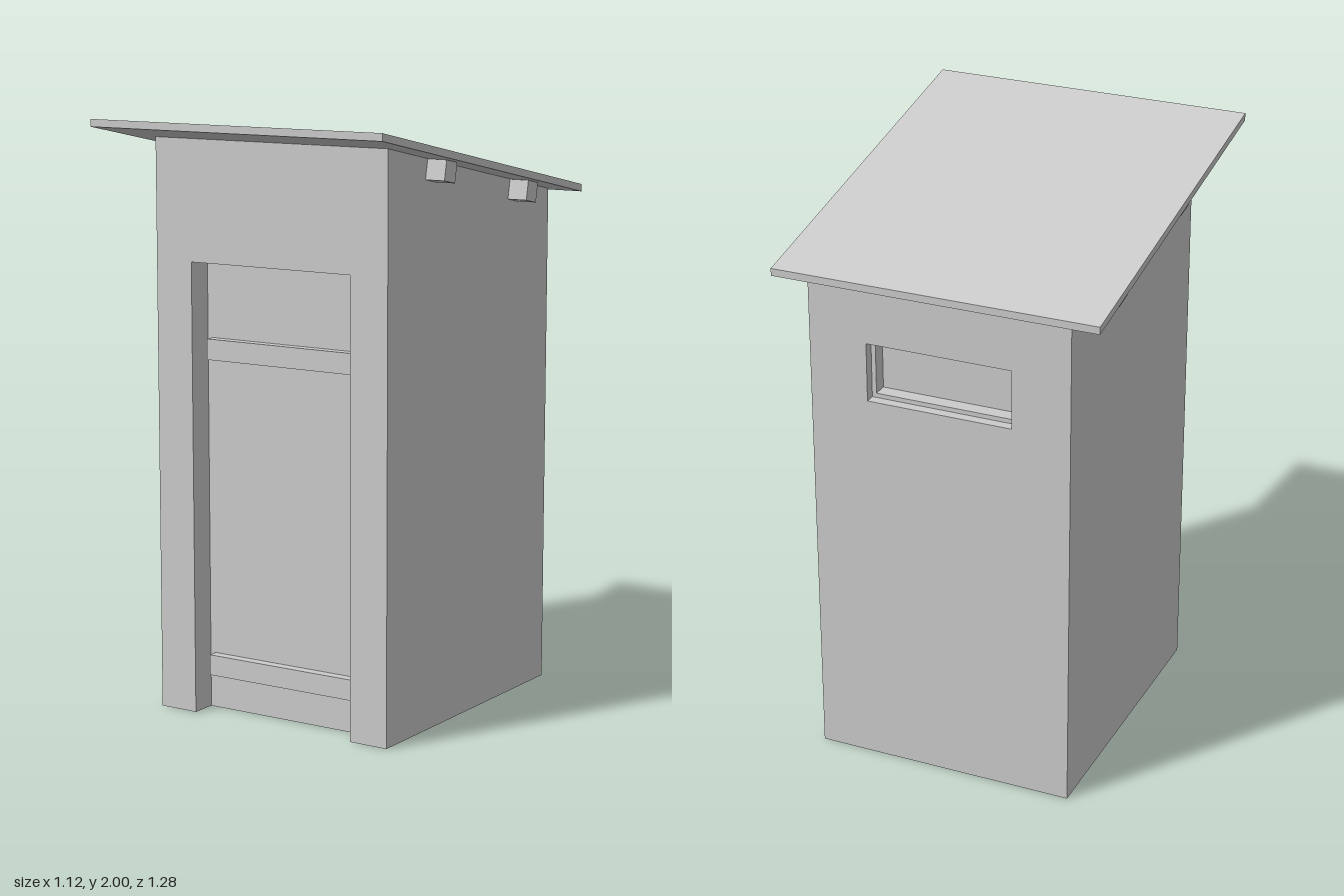
import * as THREE from 'three';

const HALF_W = 0.45, FRONT = 0.435, BACK = -0.6, SLOPE = 0.199;
// height of the roof underside at depth z
const under = (z) => 1.975 - (0.64 - z) * SLOPE;

const solid = new THREE.MeshStandardMaterial({ color: 0xcccccc, flatShading: true });
const sheet = new THREE.MeshStandardMaterial({ color: 0xcccccc, flatShading: true, side: THREE.DoubleSide });

function add(parent, name, geometry, material = solid) {
  const mesh = new THREE.Mesh(geometry, material);
  mesh.name = name;
  parent.add(mesh);
  return mesh;
}

const polygon = (points) => new THREE.Shape(points.map(([x, y]) => new THREE.Vector2(x, y)));
const corners = ({ w, y0, y1 }) => [[-w, y0], [w, y0], [w, y1], [-w, y1]];

// upright flat sheet at depth z, turned to face front (+1) or back (-1)
function upright(parent, name, points, z, facing, hole) {
  const shape = polygon(points);
  if (hole) shape.holes.push(polygon(corners(hole)));
  const mesh = add(parent, name, new THREE.ShapeGeometry(shape), sheet);
  mesh.position.z = z;
  if (facing < 0) mesh.rotation.y = Math.PI;
}

// the reveal surfaces around a rectangular opening between two depths
function reveal(parent, name, { w, y0, y1 }, zOut, zIn, withSill) {
  const depth = Math.abs(zOut - zIn), zMid = (zOut + zIn) / 2;
  for (const s of [-1, 1]) {
    const jamb = add(parent, name + 'Jamb', new THREE.PlaneGeometry(depth, y1 - y0), sheet);
    jamb.position.set(s * w, (y0 + y1) / 2, zMid);
    jamb.rotation.y = -s * Math.PI / 2;
  }
  const level = (part, y, turn) => {
    const m = add(parent, name + part, new THREE.PlaneGeometry(2 * w, depth), sheet);
    m.position.set(0, y, zMid);
    m.rotation.x = turn;
  };
  level('Head', y1, Math.PI / 2);
  if (withSill) level('Sill', y0, -Math.PI / 2);
}

export function createModel() {
  const model = new THREE.Group();
  model.name = 'outhouse';

  // side walls, open underneath
  const side = polygon([[-FRONT, 0], [-BACK, 0], [-BACK, under(BACK)], [-FRONT, under(FRONT)]]);
  for (const s of [-1, 1]) {
    const wall = add(model, s > 0 ? 'leftWall' : 'rightWall', new THREE.ShapeGeometry(side), sheet);
    wall.rotation.y = Math.PI / 2;
    wall.position.x = s * HALF_W;
  }

  // front wall with the doorway cut up from the ground
  const door = { w: 0.31, y0: 0, y1: 1.53 }, doorZ = FRONT - 0.09;
  const top = under(FRONT);
  upright(model, 'frontWall', [
    [-HALF_W, 0], [-door.w, 0], [-door.w, door.y1], [door.w, door.y1],
    [door.w, 0], [HALF_W, 0], [HALF_W, top], [-HALF_W, top],
  ], FRONT, 1);
  reveal(model, 'door', door, FRONT, doorZ, false);
  upright(model, 'door', corners(door), doorZ, 1);

  // door battens
  for (const y of [0.155, 1.235]) {
    add(model, 'doorBatten', new THREE.BoxGeometry(0.58, 0.07, 0.035)).position.set(0, y, doorZ + 0.0175);
  }

  // back wall with a stepped, closed vent window
  const outer = { w: 0.25, y0: 1.325, y1: 1.525 };
  const inner = { w: 0.235, y0: 1.34, y1: 1.51 };
  const stepZ = BACK + 0.035, paneZ = BACK + 0.085;
  upright(model, 'backWall', corners({ w: HALF_W, y0: 0, y1: under(BACK) }), BACK, -1, outer);
  reveal(model, 'window', outer, BACK, stepZ, true);
  upright(model, 'windowFrame', corners(outer), stepZ, -1, inner);
  reveal(model, 'windowFrame', inner, stepZ, paneZ, true);
  upright(model, 'windowPane', corners(inner), paneZ, -1);

  // purlins carrying the roof, tilted with its slope
  for (const [y, z] of [[1.847, 0.172], [1.741, -0.36]]) {
    const purlin = add(model, 'purlin', new THREE.BoxGeometry(1.04, 0.067, 0.067));
    purlin.position.set(0, y, z);
    purlin.rotation.x = -Math.atan(SLOPE);
  }

  // sloping roof slab with plumb-cut ends
  const slab = polygon([
    [-0.64, under(0.64)], [0.64, under(-0.64)],
    [0.64, under(-0.64) + 0.025], [-0.64, under(0.64) + 0.025],
  ]);
  const roof = add(model, 'roof', new THREE.ExtrudeGeometry(slab, { depth: 1.116, bevelEnabled: false }));
  roof.rotation.y = Math.PI / 2;
  roof.position.x = -0.558;

  return model;
}
